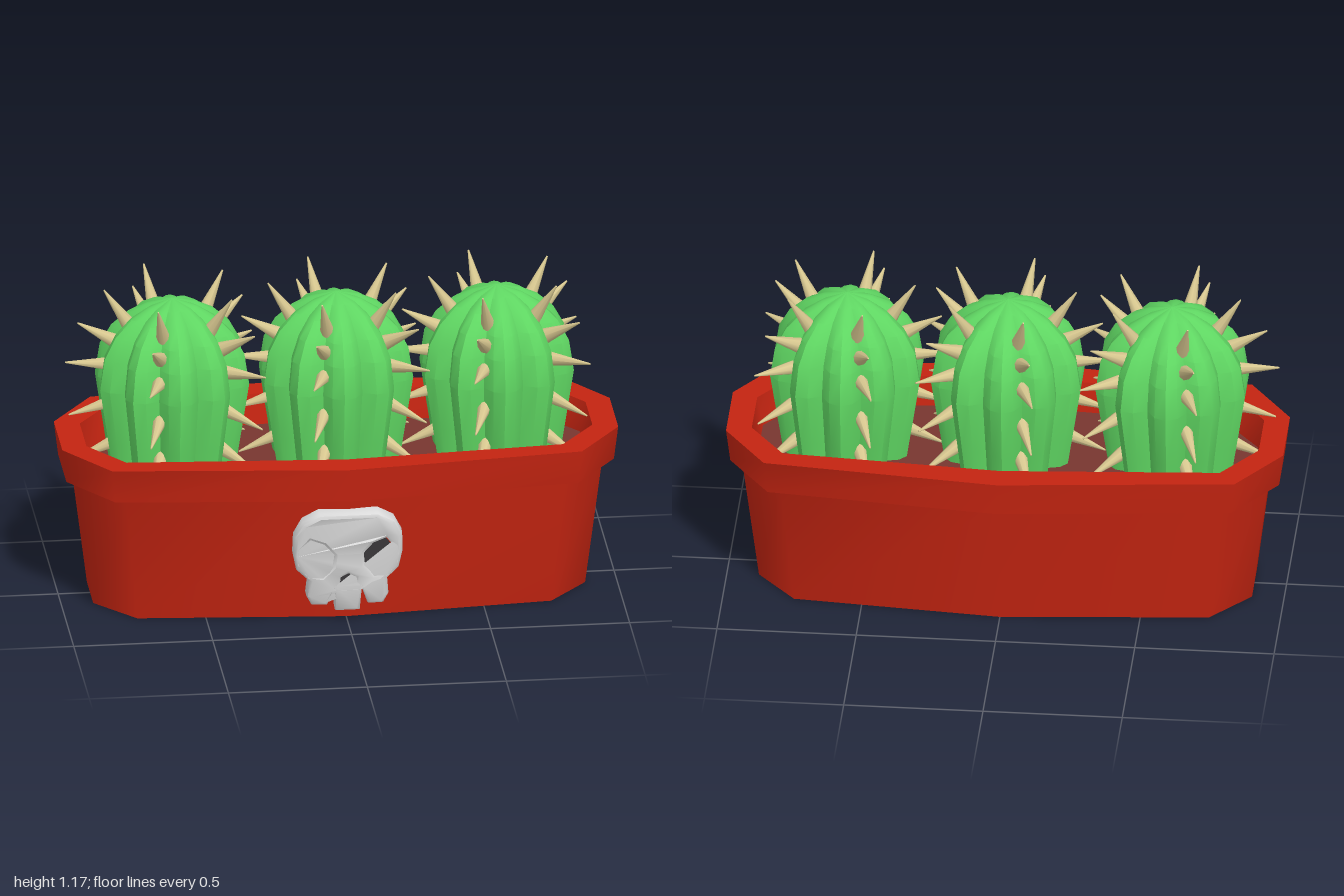
import * as THREE from 'three';
import { toCreasedNormals } from 'three/addons/utils/BufferGeometryUtils.js';

const material = (name, color, side = THREE.FrontSide) => {
  const m = new THREE.MeshStandardMaterial({ color, side });
  m.name = name;
  return m;
};

function mesh(name, geometry, mat, parent) {
  const m = new THREE.Mesh(geometry, mat);
  m.name = name;
  parent.add(m);
  return m;
}

// Joins closed rings of [x, y, z] points, listed from the bottom outside upwards.
function loft(rings, crease) {
  const n = rings[0].length;
  const index = [];
  for (let i = 0; i < rings.length - 1; i++) {
    for (let j = 0; j < n; j++) {
      const k = (j + 1) % n;
      const a = i * n + j, b = a + n, c = (i + 1) * n + k, d = i * n + k;
      index.push(a, b, d, b, c, d);
    }
  }
  const g = new THREE.BufferGeometry();
  g.setAttribute('position', new THREE.Float32BufferAttribute(rings.flat(2), 3));
  g.setIndex(index);
  return toCreasedNormals(g, crease);
}

// Ten-sided planter outline: end x, corner x, middle z, corner z, end z.
function potRing(y, xe, xc, zm, zc, ze) {
  return [[xe, y, ze], [xc, y, zc], [0, y, zm], [-xc, y, zc], [-xe, y, ze],
    [-xe, y, -ze], [-xc, y, -zc], [0, y, -zm], [xc, y, -zc], [xe, y, -ze]];
}

// Cactus body with ten rounded ribs; the grooves sit at multiples of 36 degrees.
function cactusGeometry() {
  const profile = [[0.45, 0.225], [0.61, 0.25], [0.815, 0.282], [0.93, 0.264],
    [1.005, 0.222], [1.065, 0.158], [1.1, 0.092], [1.125, 0]];
  const sides = 40;
  const rings = profile.map(([y, r]) => Array.from({ length: sides }, (_, j) => {
    const t = (j / sides) * Math.PI * 2;
    const rr = r * (0.81 + 0.19 * Math.abs(Math.sin(5 * t)));
    return [Math.cos(t) * rr, y, Math.sin(t) * rr];
  }));
  return loft(rings, 0.6);
}

// Five spines up each of five grooves: base radius, base y, tip radius, tip y.
const SPINES = [[0.15, 1.02, 0.245, 1.165], [0.2, 0.965, 0.34, 1.043],
  [0.21, 0.88, 0.385, 0.893], [0.2, 0.74, 0.372, 0.69], [0.19, 0.59, 0.35, 0.52]];

function addSpines(parent, mat) {
  const up = new THREE.Vector3(0, 1, 0);
  for (let k = 0; k < 5; k++) {
    const t = Math.PI + (k * Math.PI * 2) / 5;
    for (const [r0, y0, r1, y1] of SPINES) {
      const base = new THREE.Vector3(Math.cos(t) * r0, y0, Math.sin(t) * r0);
      const tip = new THREE.Vector3(Math.cos(t) * r1, y1, Math.sin(t) * r1);
      const dir = tip.clone().sub(base);
      const spine = mesh('spine', new THREE.CylinderGeometry(0.003, 0.028, dir.length(), 8), mat, parent);
      spine.position.copy(base).add(tip).multiplyScalar(0.5);
      spine.quaternion.setFromUnitVectors(up, dir.normalize());
    }
  }
}

const points = (list) => list.map(([x, y]) => new THREE.Vector2(x, y));
const mirrored = (list) => list.map(([x, y]) => [-x, y]).reverse();

// Skull ornament that leans with the front wall.
function buildSkull(bone, dark) {
  const skull = new THREE.Group();
  skull.name = 'skullOrnament';
  const half = [[0.045, 0.048], [0.05, 0.135], [0.072, 0.072], [0.13, 0.07], [0.148, 0.105],
    [0.142, 0.17], [0.185, 0.21], [0.197, 0.27], [0.195, 0.345], [0.165, 0.405], [0.105, 0.442]];
  const shape = new THREE.Shape(points([...half, ...mirrored(half)]));
  const eye = [[0.06, 0.235], [0.095, 0.195], [0.135, 0.2], [0.165, 0.24],
    [0.165, 0.295], [0.135, 0.335], [0.09, 0.32], [0.055, 0.28]];
  const nose = [[-0.03, 0.15], [0.03, 0.15], [0.026, 0.185], [0, 0.2], [-0.026, 0.185]];
  const sockets = [eye, mirrored(eye), nose];
  for (const s of sockets) shape.holes.push(new THREE.Path(points(s)));

  let g = new THREE.ExtrudeGeometry(shape, {
    depth: 0.038, bevelEnabled: true, bevelThickness: 0.018, bevelSize: 0.014,
    bevelOffset: -0.014, bevelSegments: 2,
  });
  // Curve the face back towards the sides and the chin.
  const p = g.attributes.position;
  for (let i = 0; i < p.count; i++) {
    const x = p.getX(i), y = p.getY(i);
    p.setZ(i, p.getZ(i) - 0.6 * x * x - 0.3 * Math.max(0, 0.16 - y) ** 2);
  }
  g = toCreasedNormals(g, 0.7);
  mesh('skullFace', g, bone, skull);
  for (const s of sockets) {
    const plate = mesh(s === nose ? 'noseSocket' : 'eyeSocket',
      new THREE.ShapeGeometry(new THREE.Shape(points(s))), dark, skull);
    plate.position.z = s === nose ? 0.04 : 0.034;
  }
  skull.rotation.x = Math.atan(0.134);
  skull.position.set(0, 0, 0.322);
  return skull;
}

export function createModel() {
  const red = material('redGlaze', 0xc42411);
  const soil = material('brownSoil', 0x783630);
  const green = material('cactusGreen', 0x5fd662);
  const straw = material('strawSpine', 0xd8c890);
  const bone = material('paleBone', 0xdadada);
  const dark = material('darkSocket', 0x3c3a3c, THREE.DoubleSide);

  const model = new THREE.Group();
  model.name = 'cactusPlanter';

  // Planter: base, sloping wall, overhanging rim and inner wall
  mesh('planter', loft([
    potRing(0, 0, 0, 0, 0, 0),
    potRing(0, 0.885, 0.745, 0.325, 0.262, 0.1),
    potRing(0.485, 0.945, 0.79, 0.39, 0.305, 0.12),
    potRing(0.485, 0.985, 0.832, 0.43, 0.346, 0.132),
    potRing(0.61, 1, 0.845, 0.44, 0.356, 0.137),
    potRing(0.61, 0.91, 0.785, 0.337, 0.28, 0.108),
    potRing(0.48, 0.885, 0.76, 0.31, 0.258, 0.1),
  ], 1.0), red, model);

  // Soil filling
  mesh('soil', loft([
    potRing(0.5, 0.89, 0.765, 0.315, 0.262, 0.101),
    potRing(0.5, 0, 0, 0, 0, 0),
  ], 0.5), soil, model);

  // Three cacti in a row
  const body = cactusGeometry();
  for (const x of [-0.59, 0, 0.578]) {
    const cactus = new THREE.Group();
    cactus.name = 'cactus';
    mesh('cactusBody', body, green, cactus);
    addSpines(cactus, straw);
    cactus.position.x = x;
    model.add(cactus);
  }

  model.add(buildSkull(bone, dark));
  return model;
}
